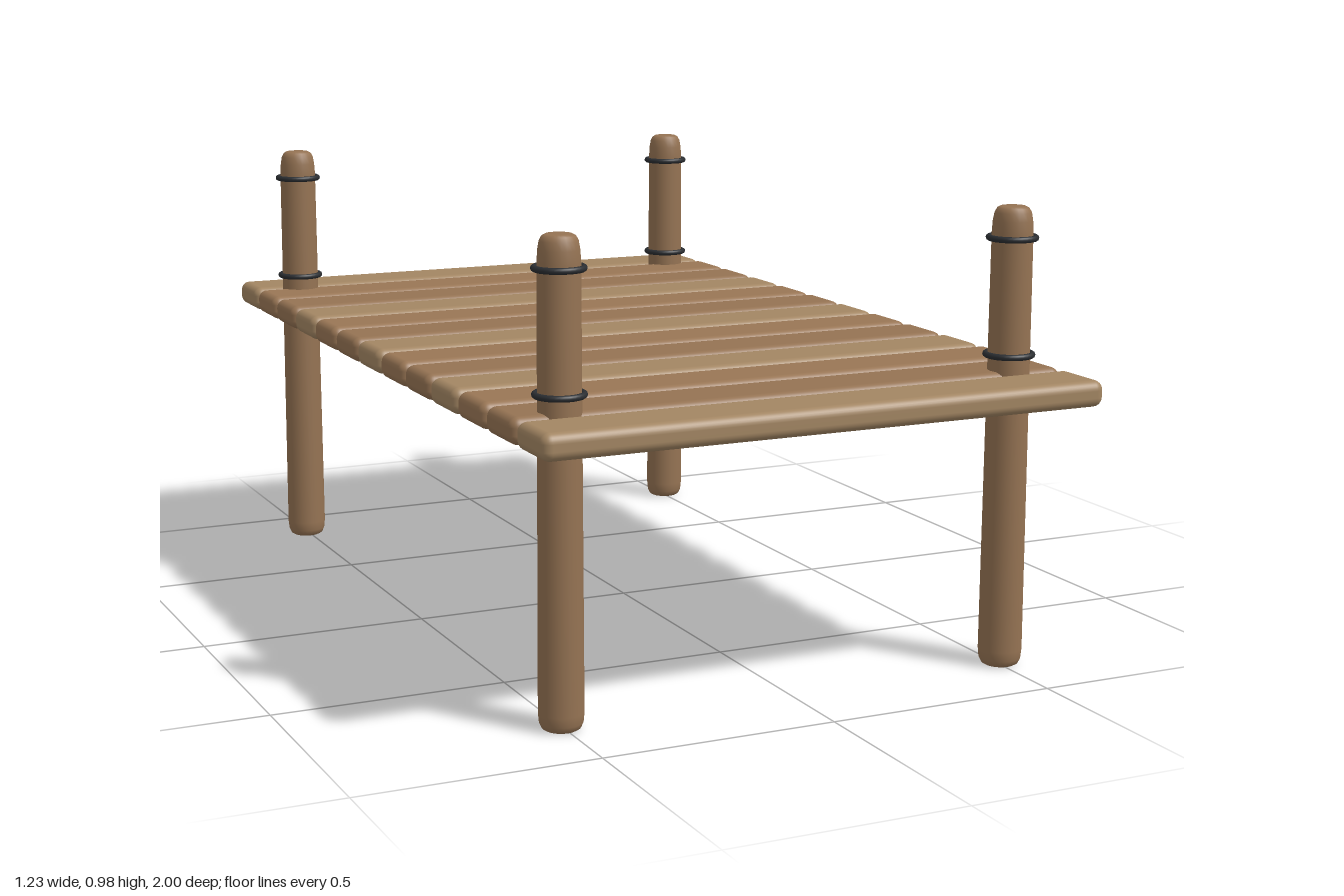
import * as THREE from 'three';
import { RoundedBoxGeometry } from 'three/addons/geometries/RoundedBoxGeometry.js';

const paint = (color) => new THREE.MeshStandardMaterial({ color });

export function createModel() {
  const dock = new THREE.Group();
  dock.name = 'dock';

  const woods = [paint(0xa38663), paint(0x997655), paint(0x957353)];
  const postWood = paint(0x957353);
  const ropeMaterial = paint(0x2b2e32);

  // Deck: 13 rounded planks with narrow gaps, in three repeating wood tones
  const deck = new THREE.Group();
  deck.name = 'deck';
  const plankGeometry = new RoundedBoxGeometry(1.234, 0.055, 0.141, 4, 0.02);
  for (let i = 0; i < 13; i++) {
    const plank = new THREE.Mesh(plankGeometry, woods[i % 3]);
    plank.name = 'plank' + (i + 1);
    plank.position.set(0, 0.607, (i - 6) * 0.1549);
    deck.add(plank);
  }
  dock.add(deck);

  // Post: slightly tapered, with rounded ends
  const profile = [
    [0, 0], [0.032, 0], [0.039, 0.004], [0.044, 0.015], [0.046, 0.035],
    [0.0425, 0.92], [0.041, 0.945], [0.038, 0.962], [0.033, 0.971], [0.026, 0.975], [0, 0.975],
  ].map(([r, y]) => new THREE.Vector2(r, y));
  const postGeometry = new THREE.LatheGeometry(profile, 24);
  const ringGeometry = new THREE.TorusGeometry(0.048, 0.0065, 10, 32).rotateX(Math.PI / 2);

  for (const x of [0.505, -0.505]) {
    for (const z of [0.813, -0.842]) {
      const group = new THREE.Group();
      group.name = (z > 0 ? 'front' : 'back') + (x > 0 ? 'Left' : 'Right') + 'Post';
      group.position.set(x, 0, z);

      const post = new THREE.Mesh(postGeometry, postWood);
      post.name = 'post';
      group.add(post);

      // Dark rings near the top and just above the deck
      for (const [name, y] of [['upperRing', 0.91], ['lowerRing', 0.667]]) {
        const ring = new THREE.Mesh(ringGeometry, ropeMaterial);
        ring.name = name;
        ring.position.y = y;
        group.add(ring);
      }
      dock.add(group);
    }
  }
  return dock;
}
